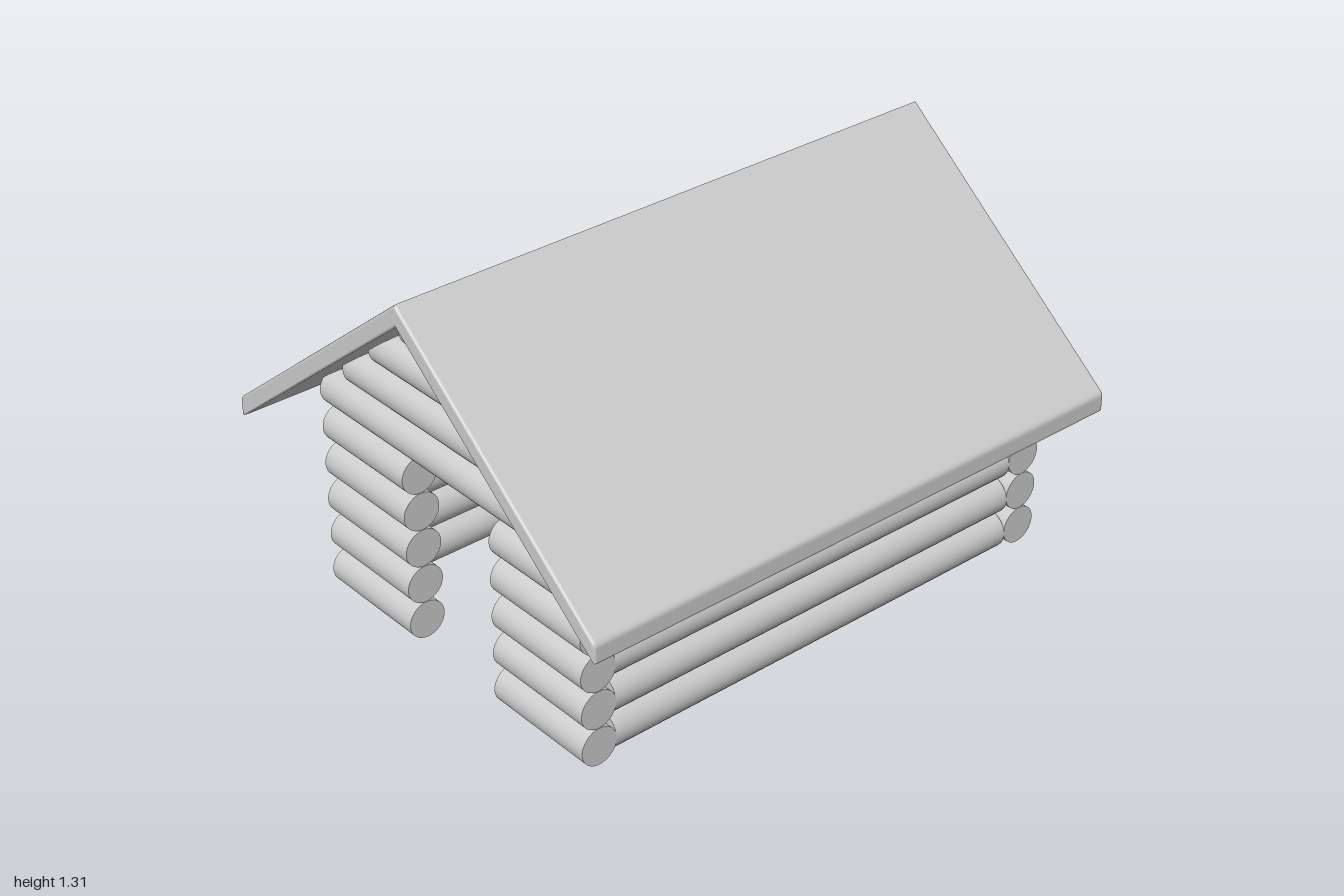
import * as THREE from 'three';

const material = new THREE.MeshStandardMaterial({ color: 0xcccccc });
const R = 0.064;

// A log lying along the x or z axis, running from one coordinate to another
function addLog(group, name, axis, from, to, y, offset, radius = R) {
  const geometry = new THREE.CylinderGeometry(radius, radius, to - from, 32);
  const mid = (from + to) / 2;
  if (axis === 'x') geometry.rotateZ(Math.PI / 2).translate(mid, y, offset);
  else geometry.rotateX(Math.PI / 2).translate(offset, y, mid);
  const log = new THREE.Mesh(geometry, material);
  log.name = name;
  group.add(log);
}

function createRoof() {
  // Gable cross-section with softened eave corners
  const s = new THREE.Shape();
  s.moveTo(0, 1.315);
  s.lineTo(-0.835, 0.648);
  s.quadraticCurveTo(-0.845, 0.64, -0.845, 0.628);
  s.lineTo(-0.845, 0.585);
  s.quadraticCurveTo(-0.845, 0.57, -0.83, 0.582);
  s.lineTo(0, 1.245);
  s.lineTo(0.83, 0.582);
  s.quadraticCurveTo(0.845, 0.57, 0.845, 0.585);
  s.lineTo(0.845, 0.628);
  s.quadraticCurveTo(0.845, 0.64, 0.835, 0.648);
  s.closePath();
  const bevel = 0.008;
  const geometry = new THREE.ExtrudeGeometry(s, {
    depth: 2 - 2 * bevel, bevelEnabled: true, bevelSize: bevel,
    bevelThickness: bevel, bevelOffset: -bevel, bevelSegments: 3, curveSegments: 4,
  });
  geometry.translate(0, 0, -1 + bevel);
  const roof = new THREE.Mesh(geometry, material);
  roof.name = 'roof';
  return roof;
}

export function createModel() {
  const cabin = new THREE.Group();
  cabin.name = 'logCabin';
  const walls = {};
  for (const name of ['frontWall', 'backWall', 'leftWall', 'rightWall']) {
    walls[name] = new THREE.Group();
    walls[name].name = name;
    cabin.add(walls[name]);
  }

  const half = 0.612, door = 0.207, frontZ = 0.8, backZ = -0.92;
  const frontY = (i) => 0.068 + 0.1295 * i;
  const backY = (i) => 0.079 + 0.1283 * i;

  // Six rows of wall logs, with a doorway through the lower five at the front
  for (let i = 0; i < 6; i++) {
    if (i < 5) {
      addLog(walls.frontWall, 'doorSideLog', 'x', door, half, frontY(i), frontZ);
      addLog(walls.frontWall, 'doorSideLog', 'x', -half, -door, frontY(i), frontZ);
    } else {
      addLog(walls.frontWall, 'lintelLog', 'x', -half, half, frontY(i), frontZ);
    }
    addLog(walls.backWall, 'backLog', 'x', -half, half, backY(i), backZ);
    const sideY = 0.066 + 0.1295 * i;
    addLog(walls.leftWall, 'sideLog', 'z', -0.857, 0.738, sideY, 0.548, 0.065);
    addLog(walls.rightWall, 'sideLog', 'z', -0.857, 0.738, sideY, -0.548, 0.065);
  }

  // Shortening gable logs at both ends
  [0.482, 0.341, 0.182].forEach((w, i) => {
    addLog(walls.frontWall, 'gableLog', 'x', -w, w, frontY(6 + i), frontZ);
    addLog(walls.backWall, 'gableLog', 'x', -w, w, backY(6 + i), backZ);
  });

  cabin.add(createRoof());
  return cabin;
}
